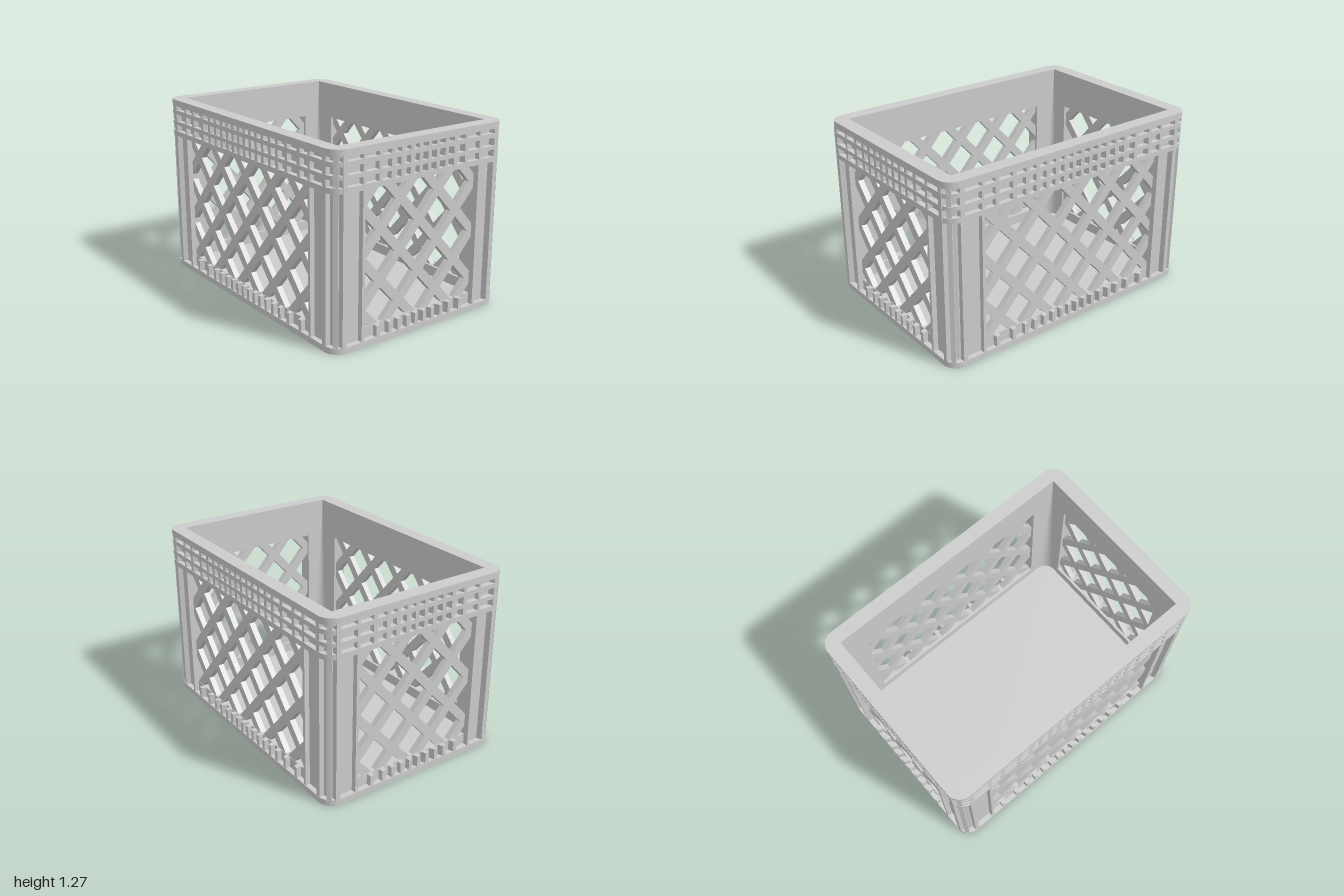
import * as THREE from 'three';
import { toCreasedNormals } from 'three/addons/utils/BufferGeometryUtils.js';

const HX = 0.692, HZ = 1, RADIUS = 0.1;     // outer half sizes and corner radius
const IX = 0.595, IZ = 0.9, SKIN = 0.062;   // inner half sizes and wall thickness
const FLOOR = 0.04, SILL = 0.115, HEAD = 1.005, RIM = 1.223, TOP = 1.268;
const material = new THREE.MeshStandardMaterial({ color: 0xcccccc });
const thinMaterial = new THREE.MeshStandardMaterial({ color: 0xcccccc, side: THREE.DoubleSide });

function mesh(name, geometry, mat = material) {
  const m = new THREE.Mesh(geometry, mat);
  m.name = name;
  return m;
}

// Upright rib; its root is widened by draft on the side given by the sign of draft
function rib(name, w, y0, y1, d, x, z, draft = 0) {
  const g = new THREE.BoxGeometry(w, y1 - y0, d), p = g.attributes.position;
  for (let i = 0; i < p.count; i++) {
    if (p.getZ(i) < 0 && p.getX(i) * draft > 0) p.setX(i, p.getX(i) + draft);
  }
  g.computeVertexNormals();
  const m = mesh(name, g);
  m.position.set(x, (y0 + y1) / 2, z);
  return m;
}

// Extrude a plan shape upwards from y0 to y1
function slab(name, shape, y0, y1) {
  const g = new THREE.ExtrudeGeometry(shape, { depth: y1 - y0, bevelEnabled: false, curveSegments: 10 });
  g.rotateX(-Math.PI / 2).translate(0, y0, 0);
  return mesh(name, toCreasedNormals(g, 0.6));
}

function roundedPlan() {
  const s = new THREE.Shape(), x = HX - RADIUS, z = HZ - RADIUS;
  s.absarc(x, z, RADIUS, 0, Math.PI / 2);
  s.absarc(-x, z, RADIUS, Math.PI / 2, Math.PI);
  s.absarc(-x, -z, RADIUS, Math.PI, Math.PI * 1.5);
  s.absarc(x, -z, RADIUS, Math.PI * 1.5, Math.PI * 2);
  s.closePath();
  return s;
}

const rectangle = (x0, y0, x1, y1) => [[x0, y0], [x1, y0], [x1, y1], [x0, y1]]
  .map(([x, y]) => new THREE.Vector2(x, y));

// Cut a convex polygon by the half plane sign * p[axis] <= sign * limit
function cut(points, axis, limit, sign) {
  const out = [];
  points.forEach((a, i) => {
    const b = points[(i + 1) % points.length];
    const da = sign * (a[axis] - limit), db = sign * (b[axis] - limit);
    if (da <= 0) out.push(a);
    if (da * db < 0) out.push(a.clone().lerp(b, da / (da - db)));
  });
  return out;
}

// Thin panel filling the window, with diamond openings clipped to its edges
function latticePanel(w, shift) {
  const shape = new THREE.Shape(rectangle(-w - 0.01, SILL - 0.01, w + 0.01, HEAD + 0.005));
  const px = 0.155, py = 0.1675, rx = 0.112, ry = 0.123;
  for (let i = -8; i <= 8; i++) {
    for (let j = -6; j <= 4; j++) {
      if ((i + j) % 2 === 0) continue;
      const x = i * px + shift, y = 0.725 + j * py;
      let p = [[rx, 0], [0, ry], [-rx, 0], [0, -ry]].map(([a, b]) => new THREE.Vector2(x + a, y + b));
      p = cut(p, 'x', w, 1);
      p = cut(p, 'x', -w, -1);
      p = cut(p, 'y', 1.0, 1);
      p = cut(p, 'y', SILL, -1);
      if (p.length > 2 && Math.abs(THREE.ShapeUtils.area(p)) > 0.0006) shape.holes.push(new THREE.Path(p));
    }
  }
  return mesh('latticePanel', new THREE.ExtrudeGeometry(shape, { depth: 0.04, bevelEnabled: false }));
}

// One wall facing +z: frame, lattice, short ribs in the rim and along the sill, tall ribs on the columns
function wall(name, half, inner, outer, w, shift, shortRibs, columnRib) {
  const g = new THREE.Group();
  g.name = name;
  const shape = new THREE.Shape(rectangle(-half, FLOOR, half, RIM));
  shape.holes.push(new THREE.Path(rectangle(-w, SILL, w, 1.0)));
  const frame = mesh('wallFrame', new THREE.ExtrudeGeometry(shape, { depth: SKIN, bevelEnabled: false }));
  frame.position.z = inner;
  const lattice = latticePanel(w, shift);
  lattice.position.z = inner + 0.019;
  g.add(frame, lattice);
  const z0 = inner + SKIN - 0.004, z1 = outer - 0.002, depth = z1 - z0, z = (z0 + z1) / 2;
  for (const side of [-1, 1]) {
    const draft = -side * 0.014;
    for (const u of shortRibs) {
      g.add(rib('rimRib', 0.028, HEAD + 0.01, RIM + 0.01, depth, side * u, z, draft));
      g.add(rib('sillRib', 0.028, FLOOR - 0.01, SILL, depth, side * u, z, draft));
    }
    g.add(rib('windowRib', 0.02, FLOOR - 0.01, RIM + 0.01, depth, side * (w + 0.01), z));
    g.add(rib('columnRib', 0.032, FLOOR - 0.01, RIM + 0.01, depth, side * columnRib, z, draft));
  }
  return g;
}

// Concave fillet inside a corner, tapering to nothing under the rim
function gussetGeometry(sx, sz) {
  const r = 0.09, n = 8, points = [];
  const foot = (i) => {
    const t = (i / n) * Math.PI / 2;
    return [sx * (IX - r * (1 - Math.cos(t))), FLOOR, sz * (IZ - r * (1 - Math.sin(t)))];
  };
  for (let i = 0; i < n; i++) points.push(sx * IX, RIM, sz * IZ, ...foot(i), ...foot(i + 1));
  const g = new THREE.BufferGeometry();
  g.setAttribute('position', new THREE.Float32BufferAttribute(points, 3));
  g.computeVertexNormals();
  return g;
}

export function createModel() {
  const crate = new THREE.Group();
  crate.name = 'crate';

  // Floor slab and the horizontal flanges around the rim
  crate.add(slab('floor', roundedPlan(), 0, FLOOR));
  const flanges = [[HEAD, 1.04], [1.087, 1.113], [1.164, 1.194], [RIM, TOP]];
  flanges.forEach(([y0, y1]) => {
    const s = roundedPlan(), top = y1 === TOP, inset = top ? 0 : SKIN / 2;
    s.holes.push(new THREE.Path(rectangle(-IX - inset, -IZ - inset, IX + inset, IZ + inset)));
    crate.add(slab(top ? 'topRim' : 'rimFlange', s, y0, y1));
  });

  // Four walls, opposite ones alike and with their lattices lined up
  const endRibs = [0.035, 0.105, 0.18, 0.255, 0.35];
  const sideRibs = [0.035, 0.105, 0.175, 0.25, 0.33, 0.41, 0.51, 0.64];
  for (const back of [0, 1]) {
    const end = wall(back ? 'backWall' : 'frontWall', IX, IZ, HZ, 0.462, 0, endRibs, 0.612);
    end.rotation.y = back * Math.PI;
    const shift = 0.155 + (back ? -0.02 : 0.02);
    const side = wall(back ? 'rightWall' : 'leftWall', IZ, IX, HX, 0.735, shift, sideRibs, 0.893);
    side.rotation.y = Math.PI / 2 + back * Math.PI;
    crate.add(end, side);
  }

  // Rounded corner posts with a diagonal rib and an inner gusset
  for (const sx of [-1, 1]) {
    for (const sz of [-1, 1]) {
      const angle = Math.atan2(sx, sz), reach = 0.075 * Math.SQRT1_2;
      const post = mesh('cornerPost', new THREE.CylinderGeometry(SKIN, SKIN, RIM - FLOOR, 12, 1, true,
        angle - Math.PI / 4, Math.PI / 2));
      post.position.set(sx * IX, (RIM + FLOOR) / 2, sz * IZ);
      const cornerRib = rib('cornerRib', 0.03, FLOOR - 0.01, RIM + 0.01, 0.046,
        sx * (HX - RADIUS + reach), sz * (HZ - RADIUS + reach));
      cornerRib.rotation.y = angle;
      crate.add(post, cornerRib, mesh('cornerGusset', gussetGeometry(sx, sz), thinMaterial));
    }
  }
  return crate;
}
